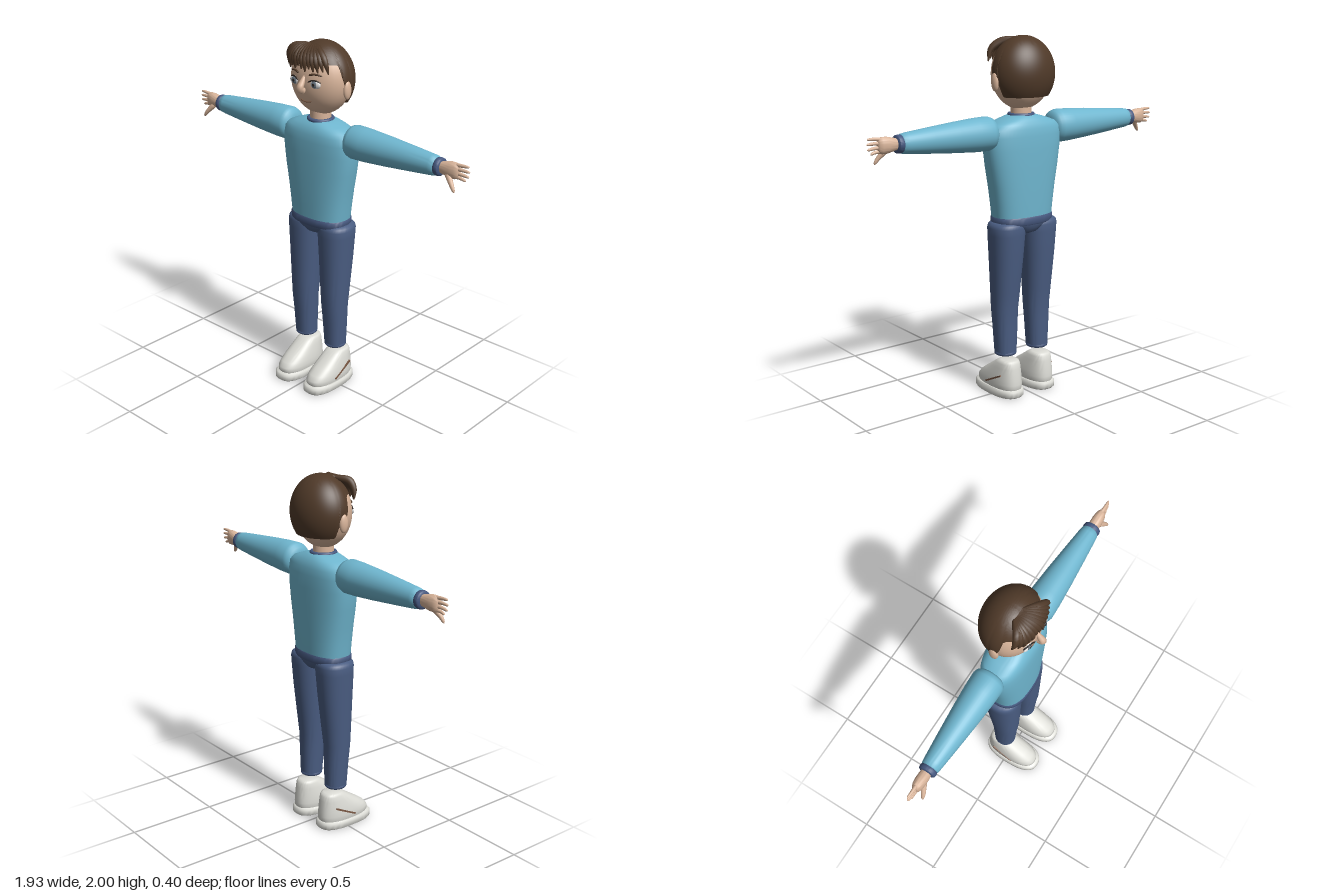
import * as THREE from 'three';
import { toCreasedNormals, mergeVertices } from 'three/addons/utils/BufferGeometryUtils.js';

const mat = (name, color) => {
  const m = new THREE.MeshStandardMaterial({ color });
  m.name = name;
  return m;
};

// Stacked super-ellipse cross-sections, each [height, cx, hx, cz, hz], lowest first
function loft(rings, exponent = 2, n = 40) {
  const pos = [], idx = [];
  const pw = v => Math.sign(v) * Math.pow(Math.abs(v), 2 / exponent);
  for (const [y, cx, hx, cz, hz] of rings)
    for (let j = 0; j < n; j++) {
      const a = j / n * Math.PI * 2;
      pos.push(cx + hx * pw(Math.cos(a)), y, cz + hz * pw(Math.sin(a)));
    }
  const first = rings[0], last = rings[rings.length - 1], c = rings.length * n;
  pos.push(first[1], first[0], first[3], last[1], last[0], last[3]);
  for (let j = 0; j < n; j++) {
    const k = (j + 1) % n, top = c - n;
    for (let i = 0; i < rings.length - 1; i++) {
      const p = i * n + j, q = i * n + k;
      idx.push(p, p + n, q, p + n, q + n, q);
    }
    idx.push(c, j, k, c + 1, top + k, top + j);
  }
  const g = new THREE.BufferGeometry();
  g.setAttribute('position', new THREE.Float32BufferAttribute(pos, 3));
  g.setIndex(idx);
  return toCreasedNormals(g, 0.9);
}

// Tube along a smooth path whose radius follows a rule of 0..1
function taperTube(points, radius, n = 14, sides = 10) {
  const curve = new THREE.CatmullRomCurve3(points.map(p => new THREE.Vector3(...p)));
  const g = new THREE.TubeGeometry(curve, n, 1, sides);
  const pos = g.attributes.position, v = new THREE.Vector3();
  for (let i = 0; i < pos.count; i++) {
    const t = Math.floor(i / (sides + 1)) / n, c = curve.getPointAt(t);
    v.fromBufferAttribute(pos, i).sub(c).multiplyScalar(radius(t)).add(c);
    pos.setXYZ(i, v.x, v.y, v.z);
  }
  g.deleteAttribute('uv');
  g.deleteAttribute('normal');
  const merged = mergeVertices(g, 1e-5);
  merged.computeVertexNormals();
  return merged;
}

const rounded = t => Math.sqrt(Math.max(0.0004, 1 - Math.pow(2 * t - 1, 6)));
const faceZ = (x, y) => -0.035 + 0.14 * Math.sqrt(Math.max(0, 1 - (x / 0.178) ** 2 - ((y - 1.8) / 0.195) ** 2));

// Hair cap: a sphere whose lower edge follows the hairline
function hairCap() {
  const g = new THREE.SphereGeometry(1, 72, 28, 0, Math.PI * 2, 0, Math.PI - 0.01);
  const pos = g.attributes.position, uv = g.attributes.uv, ss = THREE.MathUtils.smoothstep;
  for (let i = 0; i < pos.count; i++) {
    const phi = uv.getX(i) * Math.PI * 2, down = 1 - uv.getY(i);
    const deg = Math.acos(THREE.MathUtils.clamp(Math.sin(phi), -1, 1)) * 180 / Math.PI;
    const edge = 1.9 - 0.11 * ss(deg, 68, 80) - 0.11 * ss(deg, 92, 101);
    const th = Math.min(1, down * 1.04) * Math.acos((edge - 1.8) / 0.2);
    const k = down > 0.99 ? 0.9 : 1;
    pos.setXYZ(i, -0.184 * k * Math.cos(phi) * Math.sin(th), 1.8 + 0.2 * Math.cos(th),
      -0.045 + 0.157 * k * Math.sin(phi) * Math.sin(th));
  }
  g.deleteAttribute('uv');
  g.deleteAttribute('normal');
  const m = mergeVertices(g, 1e-5);
  return toCreasedNormals(m, 0.9);
}

export function createModel() {
  const model = new THREE.Group();
  model.name = 'standingBoy';
  const skin = mat('skin', 0xd9b59b), hair = mat('hair', 0x503a29), sweater = mat('sweater', 0x6fb6cf);
  const trousers = mat('trousers', 0x4a5d82), trim = mat('trim', 0x46587f), shoe = mat('shoe', 0xdcdcd6);
  const white = mat('eyeWhite', 0xeeeeee), iris = mat('iris', 0x6e7a86), dark = mat('dark', 0x2a211c);
  const brown = mat('brown', 0x7a5844);
  const add = (name, geo, material) => {
    const m = new THREE.Mesh(geo, material);
    m.name = name;
    model.add(m);
    return m;
  };
  const ball = (name, material, x, y, z, rx, ry, rz) =>
    add(name, new THREE.SphereGeometry(1, 36, 24).scale(rx, ry, rz).translate(x, y, z), material);

  // Head, neck and nose
  ball('head', skin, 0, 1.8, -0.035, 0.178, 0.195, 0.14);
  add('neck', new THREE.CylinderGeometry(0.056, 0.058, 0.12, 32).translate(0, 1.6, -0.03), skin);
  add('nose', taperTube([[0, 1.835, 0.096], [0, 1.8, 0.117], [0, 1.773, 0.132], [0, 1.757, 0.11]],
    t => 0.007 + 0.012 * Math.sin(Math.min(1, t * 1.1) * Math.PI * 0.6)), skin);
  add('mouth', taperTube([-0.04, -0.02, 0, 0.02, 0.04].map(x => {
    const y = 1.693 + x * x * 5;
    return [x, y, faceZ(x, y) + 0.004];
  }), t => 0.0035 * rounded(t)), brown);

  // Hair cap and swept fringe
  add('hairCap', hairCap(), hair);
  const tips = 13;
  for (let i = 0; i < tips; i++) {
    const x = -0.16 + i * 0.025, drop = (i * 7 % 5) * 0.006 + (i === 10 ? 0.02 : 0);
    const front = u => -0.04 + 0.153 * Math.sqrt(1 - (u / 0.2) ** 2);
    add('fringeStrand', taperTube([[-0.025 + x * 0.2, 1.98, 0.005], [-0.015 + x * 0.6, 1.965, 0.055],
      [x * 0.88, 1.925, front(x * 0.88) - 0.006], [x + 0.004, 1.885 - drop, front(x) + 0.001]],
    t => 0.002 + 0.019 * Math.sin(Math.PI * (0.12 + 0.86 * t)), 14, 8), hair);
  }

  // Sweater body, collar, hem and hips
  const body = [[1.015, 0.177, 0.113], [1.1, 0.187, 0.116], [1.2, 0.202, 0.118], [1.3, 0.221, 0.119],
    [1.4, 0.236, 0.119], [1.47, 0.238, 0.117], [1.51, 0.231, 0.112], [1.535, 0.205, 0.104],
    [1.555, 0.15, 0.092], [1.57, 0.1, 0.078], [1.578, 0.07, 0.066]];
  add('sweaterBody', loft(body.map(([y, hx, hz]) => [y, 0, hx, -0.035, hz]), 2.5, 56), sweater);
  add('collar', new THREE.TorusGeometry(0.064, 0.011, 12, 40).rotateX(Math.PI / 2).translate(0, 1.577, -0.03), trim);
  const hem = [[0.985, 0.176, 0.113], [0.992, 0.182, 0.117], [1.022, 0.183, 0.118], [1.03, 0.177, 0.114]];
  add('hem', loft(hem.map(([y, hx, hz]) => [y, 0, hx, -0.035, hz]), 2.5, 56), trim);
  const hips = [[0.928, 0.04, 0.06], [0.94, 0.075, 0.088], [0.965, 0.125, 0.104], [0.99, 0.17, 0.112], [1.01, 0.176, 0.113]];
  add('hips', loft(hips.map(([y, hx, hz]) => [y, 0, hx, -0.037, hz]), 2.3, 48), trousers);

  for (const s of [1, -1]) {
    const side = s > 0 ? 'left' : 'right';
    // Lengthwise limb along x: rings of [x, halfHeight, halfDepth]
    const limb = (name, material, cy, rings, e = 2) => add(side + name,
      loft(rings.map(([x, hy, hz]) => [x, -s * cy, hy, -0.04, hz]), e, 36).rotateZ(-s * Math.PI / 2), material);
    const path = (name, material, pts, radius) =>
      add(side + name, taperTube(pts.map(([x, y, z]) => [x * s, y, z]), radius), material);

    // Ear and eye
    ball(side + 'Ear', skin, s * 0.179, 1.762, -0.037, 0.017, 0.05, 0.026);
    const ez = faceZ(0.07, 1.8);
    ball(side + 'EyeWhite', white, s * 0.07, 1.8, ez - 0.003, 0.036, 0.023, 0.013);
    ball(side + 'Iris', iris, s * 0.07, 1.8, ez + 0.004, 0.019, 0.02, 0.009);
    ball(side + 'Pupil', dark, s * 0.07, 1.8, ez + 0.009, 0.009, 0.009, 0.006);
    const arc = (x0, x1, y0, lift, out) => [0, 0.33, 0.67, 1].map(t => {
      const x = x0 + (x1 - x0) * t, y = y0 + lift * Math.sin(t * Math.PI);
      return [x, y, faceZ(x, y) + out];
    });
    path('Eyelid', dark, arc(0.034, 0.107, 1.808, 0.015, 0.008), t => 0.004 * rounded(t));
    path('Eyebrow', hair, arc(0.035, 0.108, 1.845, 0.008, 0.005), t => 0.0065 * rounded(t) * (1 - 0.4 * t));

    // Sleeve, cuff and hand
    limb('Sleeve', sweater, 1.494, [[0.198, 0.045, 0.045], [0.204, 0.068, 0.066], [0.217, 0.085, 0.082],
      [0.24, 0.092, 0.089], [0.32, 0.09, 0.086], [0.45, 0.081, 0.077], [0.6, 0.068, 0.064],
      [0.74, 0.055, 0.051], [0.765, 0.051, 0.047], [0.775, 0.04, 0.038]]);
    limb('Cuff', trim, 1.494, [[0.765, 0.038, 0.038], [0.771, 0.046, 0.046], [0.783, 0.048, 0.048],
      [0.795, 0.046, 0.046], [0.8, 0.037, 0.037]]);
    limb('Palm', skin, 1.496, [[0.785, 0.028, 0.027], [0.82, 0.035, 0.03], [0.85, 0.042, 0.03],
      [0.88, 0.043, 0.026], [0.896, 0.037, 0.019], [0.902, 0.025, 0.01]], 2.3);
    [[1.526, 1.533, 0.962], [1.507, 1.507, 0.966], [1.487, 1.48, 0.963], [1.468, 1.456, 0.944]].forEach(([y0, y1, tip]) =>
      path('Finger', skin, [[0.87, y0, -0.04], [0.92, (y0 + y1) / 2 + 0.002, -0.038], [tip, y1, -0.04]],
        t => (0.0115 - 0.005 * t) * rounded(t)));
    path('Thumb', skin, [[0.835, 1.482, -0.032], [0.862, 1.452, -0.018], [0.885, 1.425, -0.007], [0.904, 1.396, -0.002]],
      t => (0.019 - 0.011 * t) * rounded(t));

    // Trouser leg with ankle band
    const leg = [[0.245, 0.112, 0.059, -0.033, 0.06], [0.4, 0.112, 0.067, -0.029, 0.067],
      [0.5, 0.112, 0.072, -0.025, 0.073], [0.6, 0.111, 0.078, -0.029, 0.081], [0.8, 0.11, 0.09, -0.037, 0.095],
      [0.93, 0.109, 0.098, -0.04, 0.102], [0.97, 0.109, 0.1, -0.041, 0.103], [0.988, 0.108, 0.096, -0.041, 0.1],
      [0.998, 0.107, 0.084, -0.041, 0.09], [1.002, 0.106, 0.065, -0.041, 0.07]];
    const flip = rings => rings.map(([y, cx, ...rest]) => [y, cx * s, ...rest]);
    add(side + 'TrouserLeg', loft(flip(leg), 2.3), trousers);
    add(side + 'AnkleBand', loft(flip([[0.236, 0.112, 0.056, -0.033, 0.057], [0.241, 0.112, 0.061, -0.033, 0.062],
      [0.251, 0.112, 0.062, -0.033, 0.063], [0.257, 0.112, 0.058, -0.033, 0.059]])), trim);

    // Shoe: rings of [height, halfWidth, heel z, toe z]
    const footRings = rows => flip(rows.map(([y, hx, z0, z1]) => [y, 0.111, hx, (z0 + z1) / 2, (z1 - z0) / 2]));
    add(side + 'Sole', loft(footRings([[0, 0.082, -0.143, 0.193], [0.008, 0.088, -0.15, 0.2],
      [0.036, 0.088, -0.15, 0.2], [0.045, 0.081, -0.142, 0.192]]), 2.6, 48), shoe);
    add(side + 'ShoeUpper', loft(footRings([[0.04, 0.073, -0.135, 0.172], [0.052, 0.077, -0.141, 0.181],
      [0.075, 0.078, -0.141, 0.178], [0.1, 0.076, -0.139, 0.156], [0.13, 0.071, -0.136, 0.114],
      [0.165, 0.064, -0.131, 0.06], [0.192, 0.058, -0.126, 0.02], [0.205, 0.052, -0.119, -0.002],
      [0.21, 0.042, -0.107, -0.02]]), 2.5, 48), shoe);
    const stripe = add(side + 'ShoeStripe', new THREE.BoxGeometry(0.009, 0.009, 0.146), brown);
    stripe.position.set(s * 0.186, 0.097, -0.015);
    stripe.rotation.set(0.46, s * 0.03, 0);
  }
  return model;
}
